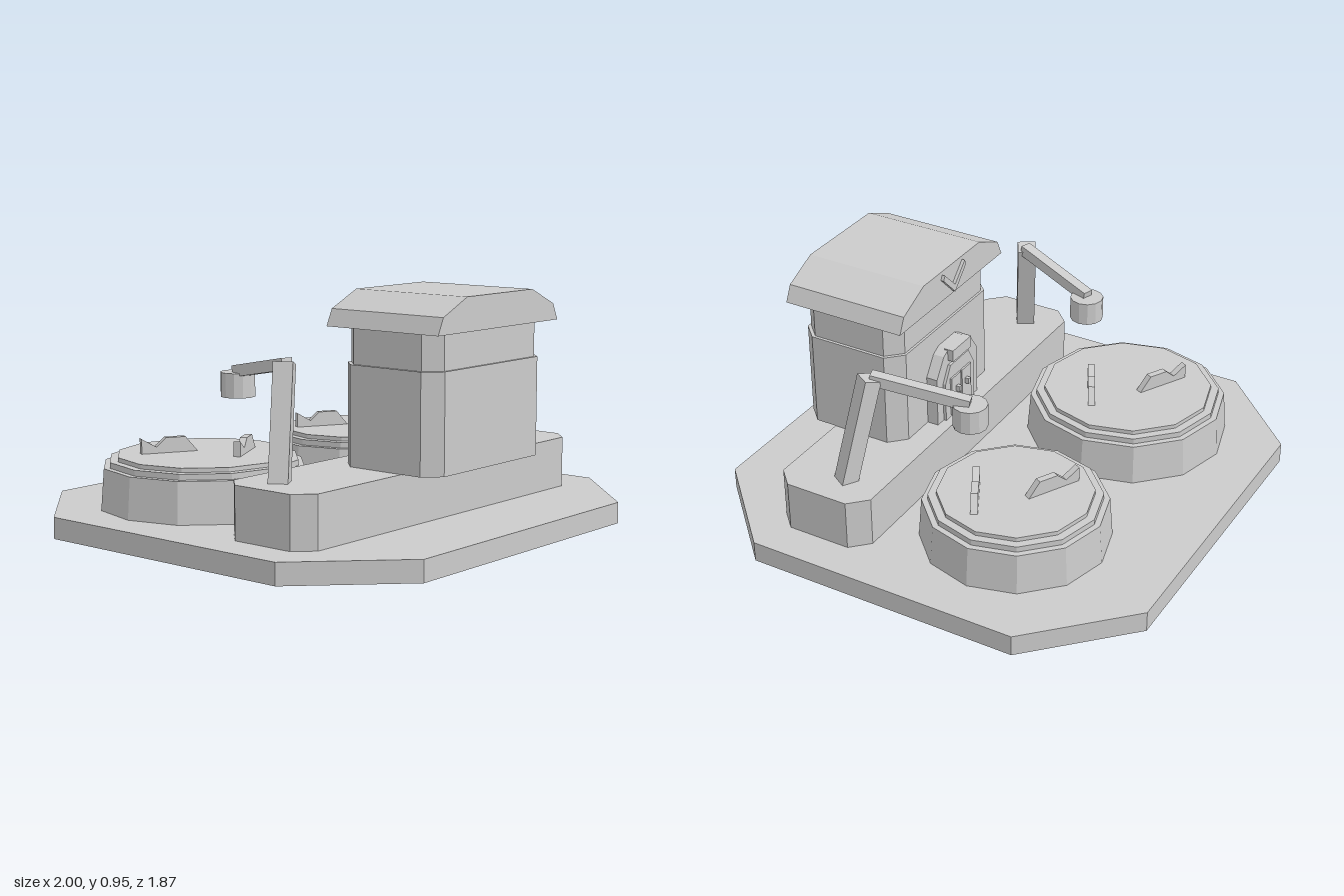
import * as THREE from 'three';

const grey = new THREE.MeshStandardMaterial({ color: 0xcccccc, flatShading: true, side: THREE.DoubleSide });
grey.name = 'plain grey';

function add(parent, name, geometry, x = 0, y = 0, z = 0) {
  const mesh = new THREE.Mesh(geometry, grey);
  mesh.name = name;
  mesh.position.set(x, y, z);
  parent.add(mesh);
  return mesh;
}

const outline = (points) => new THREE.Shape(points.map(([x, y]) => new THREE.Vector2(x, y)));

// Extrudes an outline in x and y along +z
const plate = (points, depth) =>
  new THREE.ExtrudeGeometry(outline(points), { depth, bevelEnabled: false });

// Rectangle with cut corners, counterclockwise
function cutRectangle(width, depth, cut) {
  const w = width / 2, d = depth / 2;
  return [
    [-w + cut, -d], [w - cut, -d], [w, -d + cut], [w, d - cut],
    [w - cut, d], [-w + cut, d], [-w, d - cut], [-w, -d + cut],
  ];
}

// Upright block with its four vertical corners cut off
const cutBlock = (width, depth, height, cut) =>
  plate(cutRectangle(width, depth, cut), height).rotateX(-Math.PI / 2);

// Shallow hollow base: a top sheet and a rim, open underneath
function addBase(parent, width, depth, height, cut) {
  const base = new THREE.Group();
  base.name = 'base';
  parent.add(base);
  const points = cutRectangle(width, depth, cut);
  add(base, 'baseTop', new THREE.ShapeGeometry(outline(points)).rotateX(-Math.PI / 2), 0, height, 0);
  const corners = [];
  points.forEach(([px, py], i) => {
    const [qx, qy] = points[(i + 1) % points.length];
    corners.push(px, 0, -py, qx, 0, -qy, qx, height, -qy);
    corners.push(px, 0, -py, qx, height, -qy, px, height, -py);
  });
  const rim = new THREE.BufferGeometry();
  rim.setAttribute('position', new THREE.Float32BufferAttribute(corners, 3));
  rim.computeVertexNormals();
  add(base, 'baseRim', rim);
}

// Square bar between two points
function bar(parent, name, from, to, width, depth) {
  const a = new THREE.Vector3(...from), b = new THREE.Vector3(...to);
  const mesh = add(parent, name, new THREE.BoxGeometry(width, depth, a.distanceTo(b)));
  mesh.position.copy(a).add(b).multiplyScalar(0.5);
  mesh.lookAt(b);
}

// Round twelve-sided tank with a stepped lid and two fins
function addTank(parent, name, x, z, r) {
  const tank = new THREE.Group();
  tank.name = name;
  tank.position.set(x, 0, z);
  parent.add(tank);
  const profile = [
    [0, 0.085], [r, 0.085], [r - 0.013, 0.25], [r - 0.037, 0.25], [r - 0.037, 0.273],
    [r - 0.07, 0.273], [r - 0.07, 0.29], [0, 0.29],
  ].map(([px, py]) => new THREE.Vector2(px, py));
  add(tank, 'tankBody', new THREE.LatheGeometry(profile, 12));

  const fin = [[0, 0], [0.23, 0], [0.18, 0.06], [0.1, 0.06], [0.06, 0.025], [0, 0.06]];
  for (const side of [-1, 1]) {
    const mesh = add(tank, 'lidFin', plate(fin, 0.028).translate(0, 0, -0.014),
      side < 0 ? -0.183 : 0.012, 0.29, side < 0 ? -0.168 : 0.167);
    mesh.rotation.y = side * 0.49;
  }
}

// Leaning post, reaching beam and round head
function addCrane(parent, side) {
  const crane = new THREE.Group();
  crane.name = side > 0 ? 'leftCrane' : 'rightCrane';
  parent.add(crane);
  bar(crane, 'cranePost', [side * 0.71, 0.27, 0.33], [side * 0.608, 0.712, 0.267], 0.075, 0.066);
  bar(crane, 'craneBeam', [side * 0.597, 0.707, 0.27], [side * 0.475, 0.637, -0.095], 0.045, 0.045);
  add(crane, 'craneHead', new THREE.CylinderGeometry(0.068, 0.068, 0.095, 12), side * 0.473, 0.587, -0.093);
}

function addBuilding(parent) {
  const house = new THREE.Group();
  house.name = 'building';
  house.position.x = 0.056;
  parent.add(house);
  add(house, 'lowerWalls', cutBlock(0.724, 0.46, 0.39, 0.063), 0, 0.29, 0.495);
  add(house, 'upperWalls', cutBlock(0.70, 0.44, 0.14, 0.06), 0, 0.68, 0.495);

  // Sloped roof
  add(house, 'roof', plate([
    [-0.386, 0.82], [0.386, 0.82], [0.355, 0.885], [0.21, 0.95], [-0.21, 0.95], [-0.355, 0.885],
  ], 0.525), 0, 0, 0.232);

  // Small chevron trim on the back gable
  add(house, 'gableTrim', plate([
    [0, 0.83], [0.085, 0.915], [0.075, 0.935], [0, 0.862], [-0.075, 0.935], [-0.085, 0.915],
  ], 0.015), 0, 0, 0.219);

  // Back doorway
  add(house, 'doorFrame', plate([
    [-0.155, 0.29], [0.155, 0.29], [0.155, 0.5], [0.1, 0.58], [0.06, 0.6],
    [-0.06, 0.6], [-0.1, 0.58], [-0.155, 0.5],
  ], 0.06), 0, 0, 0.217);
  add(house, 'doorSurround', plate([
    [-0.11, 0.29], [0.11, 0.29], [0.11, 0.46], [0.07, 0.53], [-0.07, 0.53], [-0.11, 0.46],
  ], 0.02), 0, 0, 0.205);
  add(house, 'doorKeystone', new THREE.BoxGeometry(0.14, 0.05, 0.04), 0, 0.575, 0.212);
  for (const side of [-1, 1]) {
    add(house, 'doorLeaf', new THREE.BoxGeometry(0.07, 0.17, 0.02), side * 0.04, 0.385, 0.207);
    add(house, 'doorHandle', new THREE.BoxGeometry(0.016, 0.025, 0.03), side * 0.035, 0.41, 0.195);
  }
}

export function createModel() {
  const model = new THREE.Group();
  model.name = 'station';
  addBase(model, 2, 1.868, 0.085, 0.365);
  add(model, 'platform', cutBlock(1.696, 0.405, 0.205, 0.07), 0, 0.085, 0.371);
  addBuilding(model);
  addTank(model, 'largeTank', -0.438, -0.312, 0.417);
  addTank(model, 'smallTank', 0.451, -0.278, 0.375);
  for (const side of [-1, 1]) addCrane(model, side);
  return model;
}
